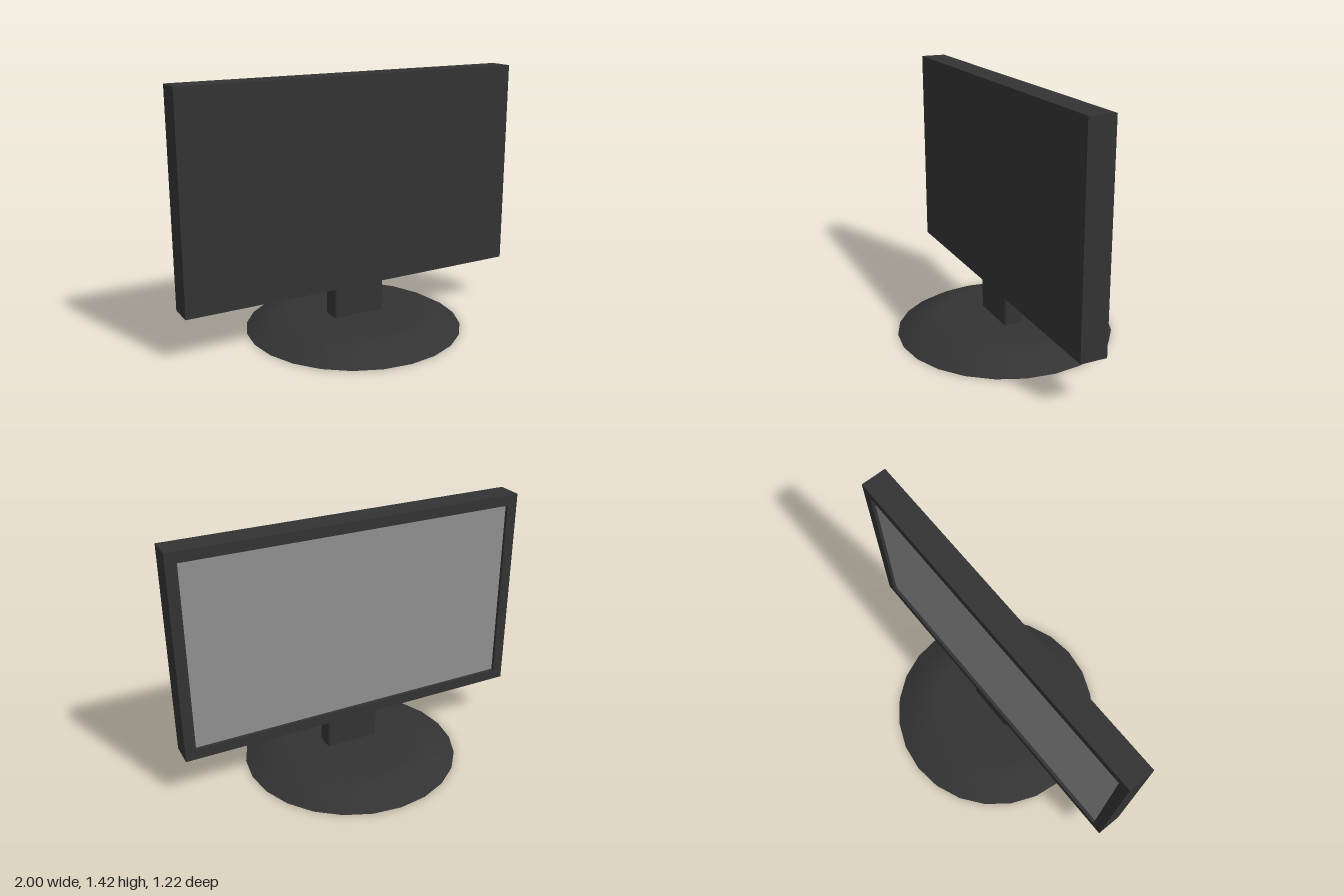
import * as THREE from 'three';
import { RoundedBoxGeometry } from 'three/addons/geometries/RoundedBoxGeometry.js';

const W = 2, BOTTOM = 0.26, TOP = 1.425, BACK = -0.06, FRONT = 0.085;
const BEZEL = 0.06, RECESS = 0.02;

// Closed rectangle outline between two corners
function rect(target, x0, y0, x1, y1) {
  target.moveTo(x0, y0);
  target.lineTo(x1, y0);
  target.lineTo(x1, y1);
  target.lineTo(x0, y1);
  target.closePath();
  return target;
}

export function createModel() {
  const group = new THREE.Group();
  const dark = new THREE.MeshStandardMaterial({ color: 0x333333 });
  const grey = new THREE.MeshStandardMaterial({ color: 0x909090 });

  const add = (name, geometry, material, x = 0, y = 0, z = 0) => {
    const mesh = new THREE.Mesh(geometry, material);
    mesh.name = name;
    mesh.position.set(x, y, z);
    group.add(mesh);
    return mesh;
  };

  const height = TOP - BOTTOM, midY = (TOP + BOTTOM) / 2;

  // Casing behind the display
  const depth = FRONT - BACK - RECESS;
  add('casing', new THREE.BoxGeometry(W, height, depth), dark, 0, midY, FRONT - depth / 2);

  // Raised bezel around the display, which faces -z
  const outline = rect(new THREE.Shape(), -W / 2, BOTTOM, W / 2, TOP);
  outline.holes.push(rect(new THREE.Path(), -W / 2 + BEZEL, BOTTOM + BEZEL, W / 2 - BEZEL, TOP - BEZEL));
  add('bezel', new THREE.ExtrudeGeometry(outline, { depth: RECESS, bevelEnabled: false }), dark, 0, 0, BACK);

  // Recessed display panel
  const screen = add('screen', new THREE.PlaneGeometry(W - 2 * BEZEL, height - 2 * BEZEL), grey,
    0, midY, BACK + RECESS - 0.002);
  screen.rotation.y = Math.PI;

  // Neck with slightly softened corners
  add('neck', new RoundedBoxGeometry(0.305, 0.24, 0.11, 2, 0.012), dark, 0.0125, 0.17, 0.0175);

  // Domed round foot, smooth on top, with a flat underside
  const profile = [[0.61, 0], [0.55, 0.034], [0.49, 0.062], [0.43, 0.079], [0.38, 0.085], [0, 0.085]]
    .map(([r, y]) => new THREE.Vector2(r, y));
  add('foot', new THREE.LatheGeometry(profile, 24), dark, 0.0125);
  const underside = add('footUnderside', new THREE.CircleGeometry(0.61, 24), dark, 0.0125);
  underside.rotation.x = Math.PI / 2;

  return group;
}
